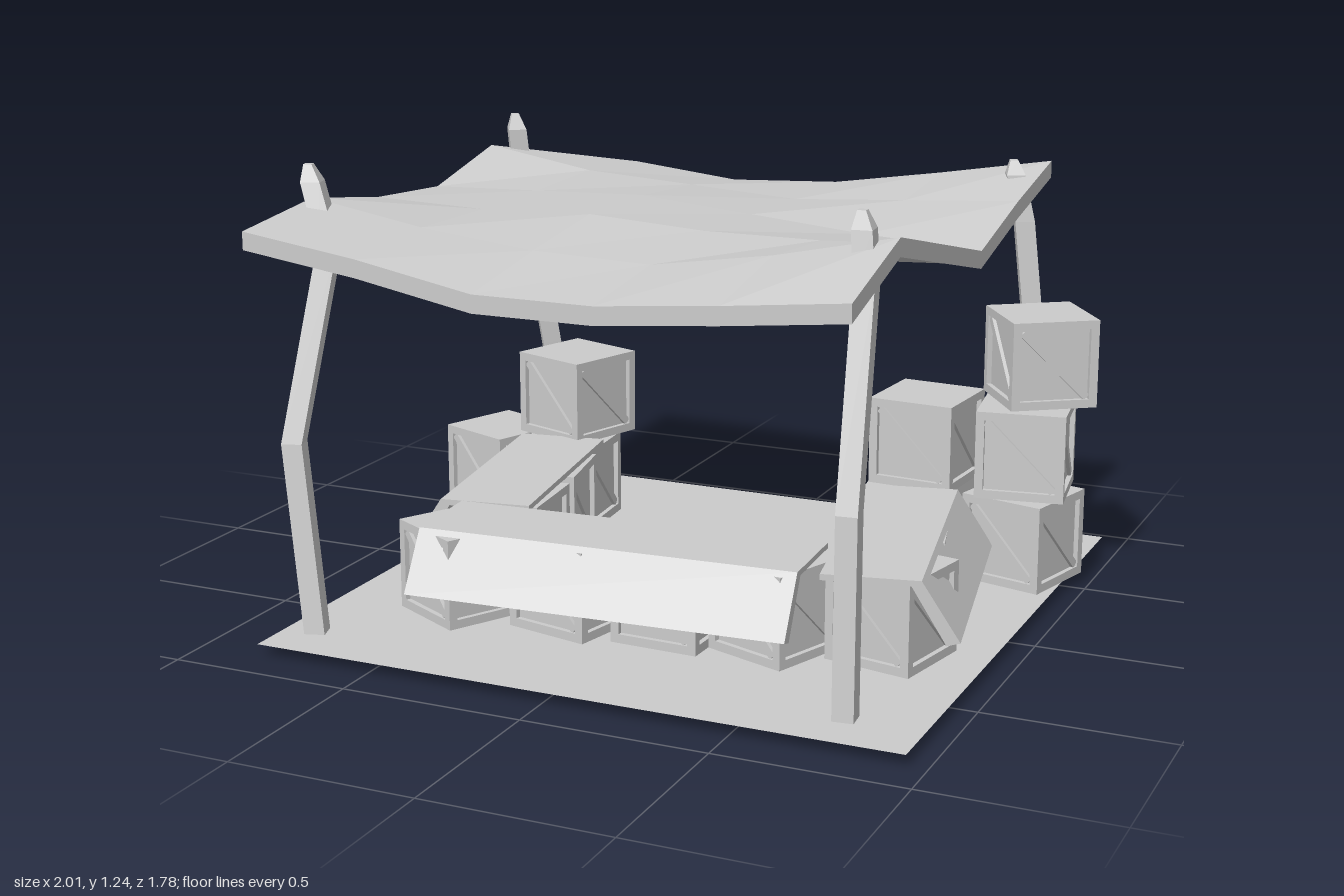
import * as THREE from 'three';

const mat = new THREE.MeshStandardMaterial({ color: 0xcccccc, flatShading: true });
const thinMat = new THREE.MeshStandardMaterial({ color: 0xcccccc, flatShading: true, side: THREE.DoubleSide });
const S = 0.247; // crate edge
const FLOOR = 0.031;

function add(parent, geo, name, material = mat) {
  const m = new THREE.Mesh(geo, material);
  m.name = name;
  parent.add(m);
  return m;
}

function box(parent, name, w, h, d, x = 0, y = 0, z = 0) {
  const m = add(parent, new THREE.BoxGeometry(w, h, d), name);
  m.position.set(x, y, z);
  return m;
}

// Crate: recessed core, solid lid and base, corner rails and a diagonal brace per side
function crate(x, y, z, yaw) {
  const g = new THREE.Group();
  g.name = 'crate';
  const rail = 0.024, recess = 0.014, core = S - 2 * recess;
  box(g, 'crateCore', core, S - rail, core);
  for (const s of [-1, 1]) {
    box(g, s > 0 ? 'crateLid' : 'crateBase', S, rail, S, 0, s * (S - rail) / 2, 0);
    for (const t of [-1, 1])
      box(g, 'crateRail', rail, S - 2 * rail, rail, s * (S - rail) / 2, 0, t * (S - rail) / 2);
  }
  const inner = S - 2 * rail;
  for (let i = 0; i < 4; i++) {
    const side = new THREE.Group();
    side.name = 'crateBrace';
    side.rotation.y = i * Math.PI / 2;
    box(side, 'crateBracePlank', inner * 1.34, 0.022, 0.012, 0, 0, core / 2 + 0.004).rotation.z = -Math.PI / 4;
    g.add(side);
  }
  g.position.set(x, y + S / 2, z);
  g.rotation.y = yaw;
  return g;
}

// Counter: flat board whose outer edge folds down into a sloping flap (outward is local +z)
function counter(name, x, z, length, yaw) {
  const profile = new THREE.Shape([
    [-0.125, 0.277], [0.105, 0.277], [0.195, 0.128], [0.23, 0.138], [0.13, 0.293], [-0.125, 0.293],
  ].map(([a, b]) => new THREE.Vector2(a, b)));
  const geo = new THREE.ExtrudeGeometry(profile, { depth: length, bevelEnabled: false });
  geo.rotateY(-Math.PI / 2).translate(length / 2, 0, 0);
  const g = new THREE.Group();
  add(g, geo, name);
  g.position.set(x, 0, z);
  g.rotation.y = yaw;
  return g;
}

// Post: square section swept through bend points, ending in a blunt point
function post(name, path, twist) {
  const n = path.length, radius = 0.039;
  const geo = new THREE.CylinderGeometry(1, 1, n - 1, 4, n - 1);
  geo.rotateY(Math.PI / 4 + twist).translate(0, (n - 1) / 2, 0);
  const p = geo.attributes.position;
  for (let i = 0; i < p.count; i++) {
    const k = Math.round(p.getY(i));
    const r = radius * (k === n - 1 ? 0.4 : k === n - 2 ? 0.95 : 1);
    p.setXYZ(i, path[k][0] + p.getX(i) * r, path[k][1], path[k][2] + p.getZ(i) * r);
  }
  const flat = geo.toNonIndexed();
  flat.computeVertexNormals();
  const m = new THREE.Mesh(flat, mat);
  m.name = name;
  return m;
}

// Canopy: thin slab sagging between its posts, heights by row from back to front
function canopy() {
  const heights = [
    [1.08, 1.07, 1.035, 1.05, 1.10, 1.155],
    [1.145, 1.09, 1.07, 1.05, 1.07, 1.09],
    [1.07, 1.08, 1.09, 1.06, 1.03, 1.01],
    [1.09, 1.08, 1.09, 1.07, 1.07, 1.085],
    [1.14, 1.085, 1.05, 1.04, 1.09, 1.16],
    [1.105, 1.06, 1.00, 1.00, 1.03, 1.065],
  ];
  const size = 1.637, thick = 0.048;
  const geo = new THREE.BoxGeometry(size, thick, size, 5, 1, 5);
  const p = geo.attributes.position;
  for (let i = 0; i < p.count; i++) {
    const col = Math.round((p.getX(i) / size + 0.5) * 5);
    const row = Math.round((p.getZ(i) / size + 0.5) * 5);
    p.setY(i, heights[row][col] - (p.getY(i) < 0 ? thick : 0));
  }
  geo.translate(-0.047, 0, 0);
  const flat = geo.toNonIndexed();
  flat.computeVertexNormals();
  return flat;
}

export function createModel() {
  const model = new THREE.Group();
  model.name = 'marketStall';

  // Ground cloth
  const ground = add(model, new THREE.PlaneGeometry(1.776, 1.78), 'groundCloth', thinMat);
  ground.rotation.x = -Math.PI / 2;
  ground.position.set(0.06, FLOOR, 0);

  add(model, canopy(), 'canopy');

  // Corner posts
  model.add(
    post('frontRightPost', [[-0.735, 0, 0.745], [-0.815, 0.53, 0.7], [-0.78, 1.03, 0.55], [-0.845, 1.19, 0.52], [-0.855, 1.235, 0.52]], 0.3),
    post('frontLeftPost', [[0.745, 0, 0.745], [0.73, 0.53, 0.7], [0.705, 1.06, 0.54], [0.69, 1.18, 0.52], [0.685, 1.225, 0.52]], 0.1),
    post('backRightPost', [[-0.685, 0, -0.68], [-0.74, 0.53, -0.62], [-0.8, 1.05, -0.56], [-0.81, 1.19, -0.55], [-0.815, 1.235, -0.55]], 0.6),
    post('backLeftPost', [[0.82, 0, -0.7], [0.785, 0.53, -0.7], [0.73, 1.0, -0.7], [0.7, 1.13, -0.7], [0.695, 1.17, -0.7]], 0.4),
  );

  // Crates: x, z, yaw per tier
  const tiers = [
    [
      [-0.47, 0.43, -0.5], [-0.15, 0.4, -0.22], [0.13, 0.38, -0.04], [0.41, 0.36, -0.35], // front row
      [-0.48, 0.13, 0.1], [-0.53, -0.16, 0.2], [-0.59, -0.43, 0.08], [-0.84, -0.49, -0.37], // right side
      [0.7, 0.29, -0.2], [0.62, -0.01, 0.25], [0.53, -0.3, 0.15], [0.49, -0.61, -0.12], [0.825, -0.46, -0.25], // left side
    ],
    [[-0.605, -0.53, -0.33], [0.53, -0.48, -0.08], [0.82, -0.48, 0.15]],
    [[0.835, -0.55, 0.61]],
  ];
  tiers.forEach((tier, level) => {
    for (const [x, z, yaw] of tier) model.add(crate(x, FLOOR + level * S, z, yaw));
  });

  // Counters on top of the crate rows
  model.add(
    counter('frontCounter', -0.01, 0.4, 1.05, 0.06),
    counter('leftCounter', 0.62, 0.07, 0.8, Math.PI / 2 + 0.2),
    counter('rightCounter', -0.53, -0.05, 0.7, -Math.PI / 2 + 0.16),
  );
  return model;
}
